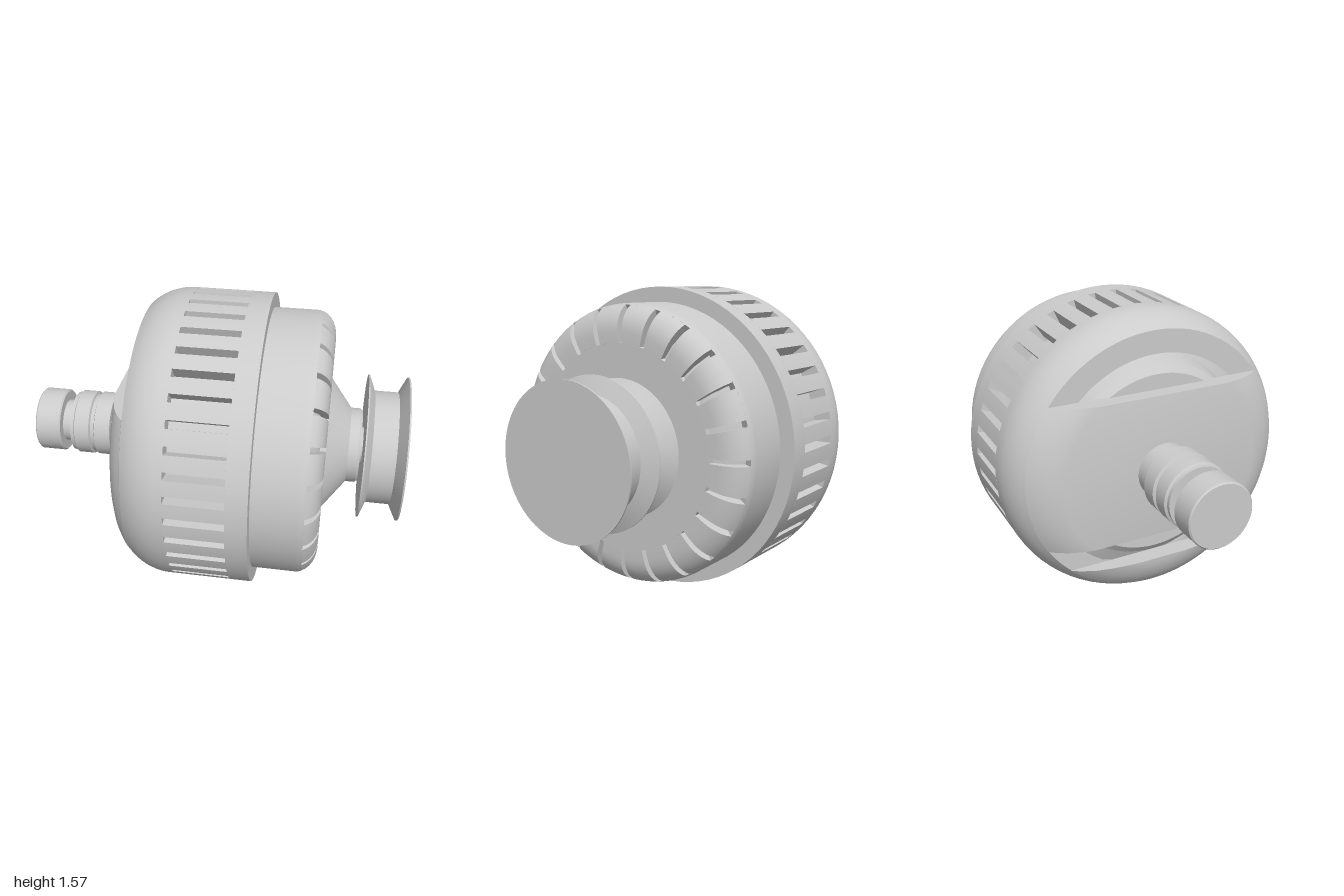
import * as THREE from 'three';
import { mergeGeometries, toCreasedNormals } from 'three/addons/utils/BufferGeometryUtils.js';

const R = 0.787; // outer radius, also the height of the axis
const material = new THREE.MeshStandardMaterial({ color: 0xcccccc, side: THREE.DoubleSide });
const rad = THREE.MathUtils.degToRad;
const vec = (pts) => pts.map(([x, r]) => new THREE.Vector2(r, x));

// Turned part around the x axis; profile points are [x, radius]
function turned(pts, segments = 80, start = 0, length = Math.PI * 2) {
  const g = new THREE.LatheGeometry(vec(pts), segments, start, length);
  return toCreasedNormals(g.rotateZ(-Math.PI / 2), 0.5);
}

// Ring of closed ribs, leaving one slot between each pair
function slottedRing(outline, count, slotAngle, offset) {
  const parts = [];
  const pitch = (Math.PI * 2) / count;
  for (let i = 0; i < count; i++) {
    const a = offset + i * pitch + slotAngle / 2;
    const length = pitch - slotAngle;
    parts.push(turned([...outline, outline[0]], 3, a, length));
    for (const phi of [a, a + length]) {
      const side = new THREE.ShapeGeometry(new THREE.Shape(vec(outline)));
      side.rotateY(phi - Math.PI / 2).rotateZ(-Math.PI / 2);
      parts.push(side.toNonIndexed());
    }
  }
  return mergeGeometries(parts);
}

const shoulderRadius = (x) => 0.5 + Math.sqrt(0.29 ** 2 - (x + 0.18) ** 2);

// Slice of the rounded end, kept between heights lo and hi (from the axis)
function endSlice(lo, hi) {
  const N = 24, M = 2 * N + 2, levels = [-0.47, -0.455, -0.435, -0.405, -0.375];
  const pos = [], index = [];
  levels.forEach((x, i) => {
    const r = i === 0 ? 0.54 : shoulderRadius(x);
    const a0 = Math.asin(Math.max(-1, lo / r)), a1 = Math.asin(hi / r);
    for (let k = 0; k < M; k++) {
      const j = k <= N ? k : M - 1 - k;
      const a = a0 + ((a1 - a0) * j) / N;
      pos.push(x, r * Math.sin(a), r * Math.cos(a) * (k <= N ? 1 : -1));
    }
  });
  for (let i = 0; i < levels.length - 1; i++) {
    for (let k = 0; k < M; k++) {
      const a = i * M + k, b = i * M + ((k + 1) % M);
      index.push(a, a + M, b, b, a + M, b + M);
    }
  }
  const last = (levels.length - 1) * M;
  for (let j = 0; j < N; j++) {
    const p = j, q = j + 1, s = M - 1 - j, t = M - 2 - j;
    index.push(p, q, s, q, t, s);
    index.push(last + p, last + s, last + q, last + q, last + s, last + t);
  }
  const g = new THREE.BufferGeometry();
  g.setAttribute('position', new THREE.Float32BufferAttribute(pos, 3));
  g.setIndex(index);
  return toCreasedNormals(g, 0.5);
}

export function createModel() {
  const model = new THREE.Group();
  model.name = 'alternator';
  const add = (name, geometry) => {
    const mesh = new THREE.Mesh(geometry, material);
    mesh.name = name;
    mesh.position.y = R;
    model.add(mesh);
  };

  // Rear housing: rounded shoulder, slotted band, plain front band
  const shoulder = [];
  for (let i = 0; i <= 8; i++) {
    const x = -0.375 + (0.195 * i) / 8;
    shoulder.push([x, shoulderRadius(x) - 0.003]);
  }
  add('housingShoulder', turned([
    [-0.375, 0.59], ...shoulder, [-0.15, R], [-0.15, 0.7], [-0.25, 0.68], [-0.375, 0.59],
  ]));
  add('housingVents', slottedRing(
    [[-0.15, 0.7], [-0.15, R], [0.15, R], [0.15, 0.7]], 40, rad(3), rad(1)));
  add('housingFrontBand', turned([
    [0.15, 0.66], [0.15, R], [0.26, R], [0.26, 0.66], [0.15, 0.66],
  ]));

  // Flat end plate and lower lip, with openings above and between them
  add('endPlate', endSlice(-0.37, 0.41));
  add('endLip', endSlice(-1, -0.52));

  // Inner drum seen through the openings
  add('innerDrum', turned([
    [-0.39, 0], [-0.39, 0.49], [-0.36, 0.53], [-0.25, 0.56], [-0.2, 0.67], [0.25, 0.67], [0.25, 0],
  ]));

  // Front cover: barrel, slotted rounded rim, flat face
  const corner = [];
  for (let i = 0; i <= 6; i++) {
    const a = rad(20 + (70 * i) / 6);
    corner.push([0.485 + 0.11 * Math.sin(a), 0.57 + 0.14 * Math.cos(a)]);
  }
  const [startX, startR] = corner[0];
  add('coverBarrel', turned([[0.25, 0.71], [0.485, 0.71], [0.505, 0.708], [startX, startR]]));
  add('coverVents', slottedRing(
    [...corner, [0.595, 0.52], [0.565, 0.52], [0.55, 0.59], [0.5, 0.66]], 24, rad(2.6), 0));
  add('coverLiner', turned([[startX, startR], [0.5, 0.66], [0.55, 0.59], [0.565, 0.52], [0.595, 0.52]]));
  add('coverFace', turned([[0.595, 0.52], [0.595, 0.35]]));

  // Nose cone, collar and pulley
  add('noseCone', turned([[0.595, 0.35], [0.71, 0.2], [0.76, 0.2], [0.772, 0.19], [0.772, 0]]));
  add('pulleyShaft', turned([[0.76, 0.1], [0.8, 0.1]], 40));
  add('pulley', turned([
    [0.785, 0], [0.785, 0.385], [0.792, 0.385], [0.825, 0.302], [0.95, 0.302],
    [0.992, 0.385], [1, 0.385], [1, 0],
  ]));

  // Stepped rear shaft
  add('rearShaft', turned([
    [-1, 0], [-1, 0.165], [-0.993, 0.172], [-0.868, 0.172], [-0.861, 0.165], [-0.861, 0.115],
    [-0.805, 0.115], [-0.805, 0.163], [-0.785, 0.163], [-0.778, 0.175], [-0.698, 0.175],
    [-0.692, 0.16], [-0.672, 0.16], [-0.666, 0.175], [-0.58, 0.175], [-0.578, 0.148], [-0.46, 0.148],
  ], 48));

  return model;
}
